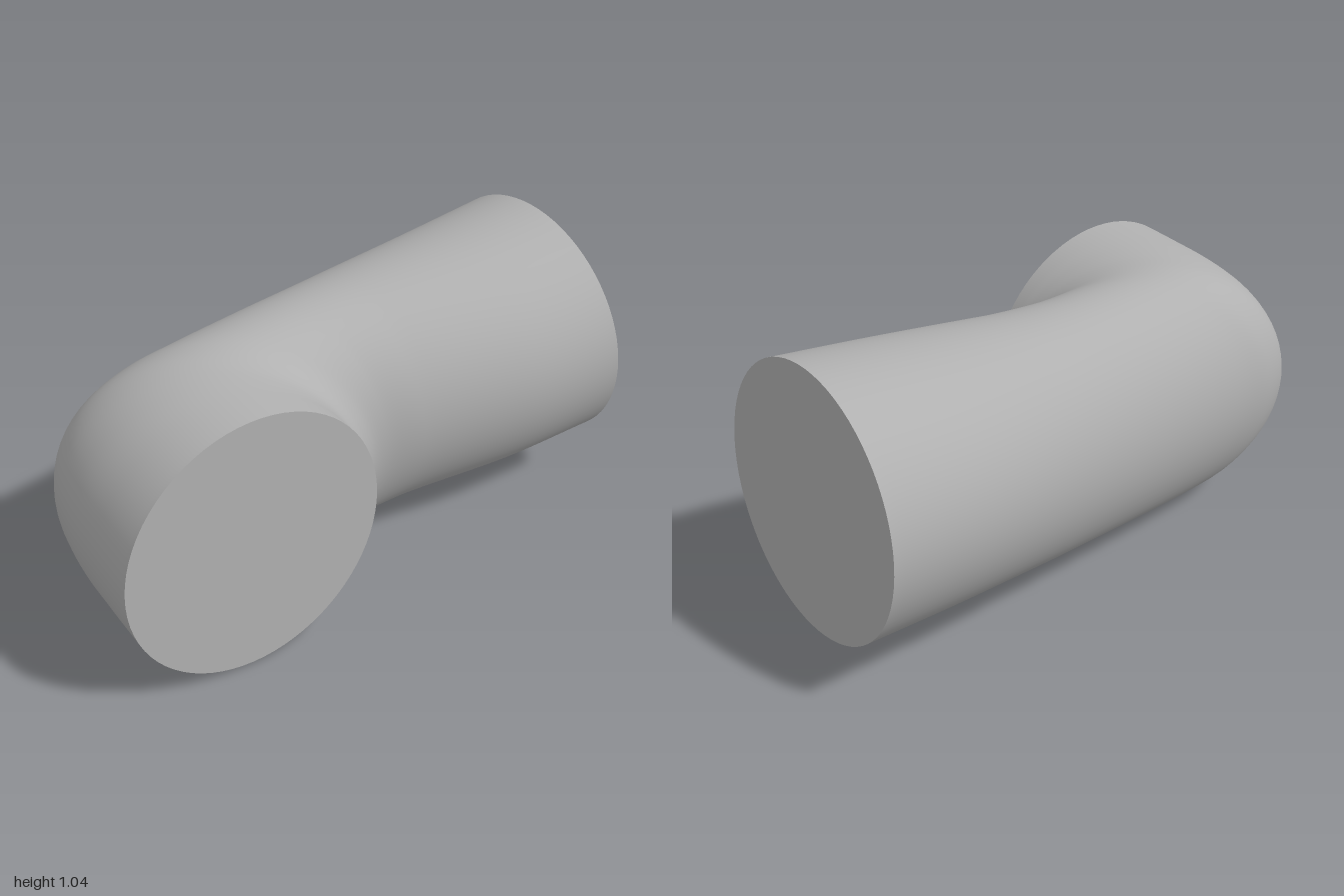
import * as THREE from 'three';

const SIDES = 72, STEPS = 90;

// Cross-sections along the elbow:
// outer x, z | inner x, z | top y, bottom y | lean of the section in x, z
const SECTIONS = [
  [-0.47, -0.96, 0.462, -0.96, 1.04, 0.12, 0, 0.037],
  [-0.46, -0.60, 0.42, -0.60, 1.0, 0.10, 0, 0.03],
  [-0.43, -0.20, 0.325, -0.20, 0.965, 0.08, 0, 0.015],
  [-0.39, 0.25, 0.29, -0.07, 0.95, 0.05, 0, 0],
  [-0.35, 0.60, 0.287, -0.02, 0.945, 0.02, 0, 0],
  [-0.325, 0.76, 0.295, 0.01, 0.943, 0.01, 0, 0],
  [-0.27, 0.87, 0.305, 0.03, 0.942, 0.007, 0, 0],
  [-0.17, 0.935, 0.325, 0.05, 0.94, 0.004, 0, 0],
  [0.0, 0.975, 0.35, 0.06, 0.94, 0.002, -0.005, 0],
  [0.2, 0.99, 0.375, 0.063, 0.94, 0.005, -0.01, 0],
  [0.403, 1.0, 0.403, 0.065, 0.94, 0.01, -0.018, 0],
];

const curve = (fn) => new THREE.CatmullRomCurve3(SECTIONS.map((s) => new THREE.Vector3(...fn(s))));

// One smooth ring per step, spanned by four guide curves
function makeRings() {
  const mid = (s) => (s[4] + s[5]) / 2;
  const outer = curve((s) => [s[0], mid(s), s[1]]);
  const inner = curve((s) => [s[2], mid(s), s[3]]);
  const height = curve((s) => [s[6], (s[4] - s[5]) / 2, s[7]]);
  const rings = [];
  for (let i = 0; i <= STEPS; i++) {
    const u = i / STEPS;
    const a = outer.getPoint(u), b = inner.getPoint(u), up = height.getPoint(u);
    const centre = a.clone().add(b).multiplyScalar(0.5);
    const side = b.clone().sub(a).multiplyScalar(0.5);
    const points = [];
    for (let j = 0; j < SIDES; j++) {
      const t = (j / SIDES) * Math.PI * 2;
      points.push(centre.clone().addScaledVector(side, Math.cos(t)).addScaledVector(up, Math.sin(t)));
    }
    rings.push({ centre, points });
  }
  return rings;
}

function makeGeometry(points, index) {
  const g = new THREE.BufferGeometry().setFromPoints(points);
  g.setIndex(index);
  g.computeVertexNormals();
  return g;
}

// Curved wall joining the rings
function wallGeometry(rings) {
  const index = [];
  for (let i = 0; i < STEPS; i++) {
    for (let j = 0; j < SIDES; j++) {
      const k = (j + 1) % SIDES;
      const a = i * SIDES + j, b = i * SIDES + k;
      index.push(a, b, a + SIDES, b, b + SIDES, a + SIDES);
    }
  }
  return makeGeometry(rings.flatMap((r) => r.points), index);
}

// Flat disc closing one end
function capGeometry(ring, flip) {
  const index = [];
  for (let j = 0; j < SIDES; j++) {
    const a = j + 1, b = ((j + 1) % SIDES) + 1;
    index.push(0, ...(flip ? [b, a] : [a, b]));
  }
  return makeGeometry([ring.centre, ...ring.points], index);
}

export function createModel() {
  const group = new THREE.Group();
  group.name = 'pipeElbow';
  const grey = new THREE.MeshStandardMaterial({ color: 0xb0b0b0 });
  grey.name = 'grey';

  const rings = makeRings();
  const add = (name, geometry) => {
    const mesh = new THREE.Mesh(geometry, grey);
    mesh.name = name;
    group.add(mesh);
  };
  add('elbowWall', wallGeometry(rings));
  add('backEndCap', capGeometry(rings[0], true));
  add('sideEndCap', capGeometry(rings[STEPS], false));
  return group;
}
